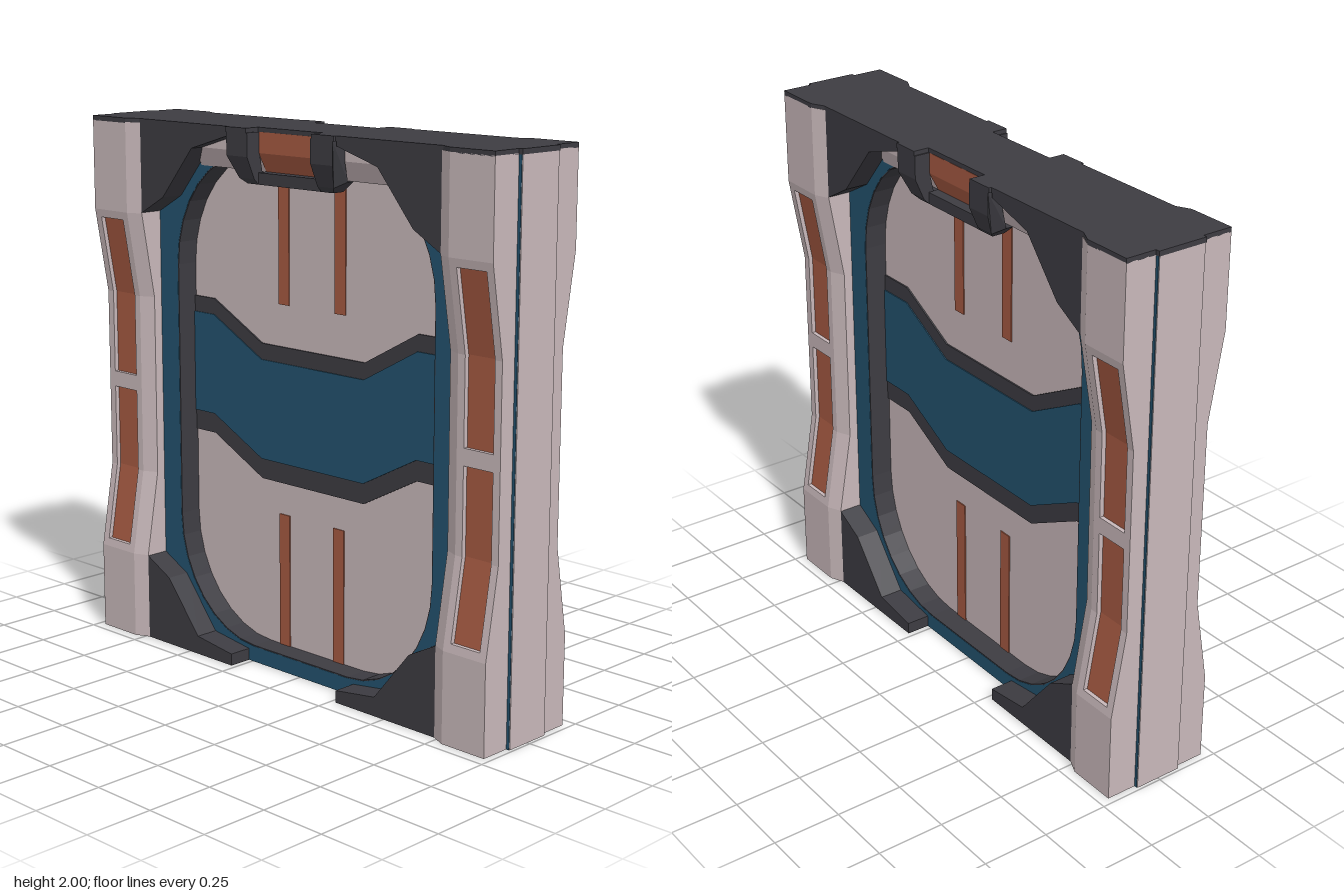
import * as THREE from 'three';

export function createModel() {
  const model = new THREE.Group();
  const mat = (name, color) => {
    const m = new THREE.MeshStandardMaterial({ color });
    m.name = name;
    return m;
  };
  const pale = mat('pale panel', 0xc8b8ba);
  const dark = mat('dark metal', 0x3d3c42);
  const blue = mat('blue frame', 0x23526e);
  const orange = mat('orange accent', 0xa65a42);

  const add = (parent, name, geometry, material) => {
    const mesh = new THREE.Mesh(geometry, material);
    mesh.name = name;
    parent.add(mesh);
    return mesh;
  };
  const box = (parent, name, material, x0, x1, y0, y1, z0, z1) => {
    const g = new THREE.BoxGeometry(x1 - x0, y1 - y0, z1 - z0);
    g.translate((x0 + x1) / 2, (y0 + y1) / 2, (z0 + z1) / 2);
    return add(parent, name, g, material);
  };
  const poly = pts => new THREE.Shape(pts.map(p => new THREE.Vector2(p[0], p[1])));
  const mirrorX = pts => [...pts, ...pts.map(([x, y]) => [-x, y]).reverse()];
  // Outline in x,y pushed from z0 to z1
  const extrudeZ = (shape, z0, z1) =>
    new THREE.ExtrudeGeometry(shape, { depth: z1 - z0, bevelEnabled: false }).translate(0, 0, z0);
  // Outline in z,y pushed from x0 to x1
  const extrudeX = (pts, x0, x1) =>
    new THREE.ExtrudeGeometry(poly(pts.map(([z, y]) => [-z, y])), { depth: x1 - x0, bevelEnabled: false })
      .rotateY(Math.PI / 2).translate(x0, 0, 0);

  // Rounded doorway outline
  const opening = inset => {
    const pts = [], rx = 0.4 - inset, ry = 0.44 - inset, n = 8;
    for (const [sx, cy, start] of [[1, 1.46, 0], [-1, 1.46, 90], [-1, 0.5, 180], [1, 0.5, 270]]) {
      for (let i = 0; i <= n; i++) {
        const a = THREE.MathUtils.degToRad(start + 90 * i / n);
        pts.push([sx * 0.24 + rx * Math.cos(a), cy + ry * Math.sin(a)]);
      }
    }
    return poly(pts);
  };

  // Frame with a dark lining
  const frame = poly([[-0.76, 0], [0.76, 0], [0.76, 1.985], [-0.76, 1.985]]);
  frame.holes.push(opening(0));
  add(model, 'doorFrame', extrudeZ(frame, -0.095, 0.095), blue);
  const lining = opening(0);
  lining.holes.push(opening(0.004));
  add(model, 'frameLining', extrudeZ(lining, -0.094, 0.094), dark);

  // Recessed door with its kinked band
  box(model, 'doorPanel', pale, -0.66, 0.66, 0.03, 1.94, -0.008, 0.008);
  const bandShape = (top, bottom) => poly([
    [-0.65, top], [-0.53, top], [-0.275, top - 0.135], [0.24, top - 0.135], [0.49, top], [0.65, top],
    [0.65, bottom], [0.49, bottom], [0.24, bottom - 0.13], [-0.275, bottom - 0.13], [-0.53, bottom], [-0.65, bottom],
  ]);
  add(model, 'bandBorder', extrudeZ(bandShape(1.335, 0.82), -0.014, 0.014), dark);
  add(model, 'band', extrudeZ(bandShape(1.275, 0.895), -0.018, 0.018), blue);

  // Pillar side profile: depth narrows at mid height
  const halfDepth = y => {
    const d = Math.abs(y - 0.99);
    return 0.155 + 0.055 * THREE.MathUtils.clamp((d - 0.34) / 0.32, 0, 1);
  };
  const both = side => [...side, ...side.map(([z, y]) => [-z, y]).reverse()];
  const heights = [0, 0.33, 0.65, 1.33, 1.65, 1.985];
  const profile = both(heights.map(y => [halfDepth(y), y]));
  const windows = [[0.36, 0.65, 0.96], [1.02, 1.33, 1.62]];
  const recess = 0.02;
  const notched = [[halfDepth(0), 0], [halfDepth(0.33), 0.33]];
  for (const ys of windows) {
    notched.push([halfDepth(ys[0]), ys[0]]);
    ys.forEach(y => notched.push([halfDepth(y) - recess, y]));
    notched.push([halfDepth(ys[2]), ys[2]]);
  }
  notched.push([halfDepth(1.65), 1.65], [halfDepth(1.985), 1.985]);

  for (const [name, turn] of [['leftPillar', 0], ['rightPillar', Math.PI]]) {
    const pillar = new THREE.Group();
    pillar.name = name;
    pillar.rotation.y = turn;
    model.add(pillar);
    add(pillar, 'outerEdge', extrudeX(profile, 0.945, 0.975), pale);
    add(pillar, 'innerEdge', extrudeX(profile, 0.79, 0.82), pale);
    add(pillar, 'windowColumn', extrudeX(both(notched), 0.82, 0.945), pale);
    // Bevel towards the doorway
    const bevel = extrudeX(profile, 0.735, 0.79);
    const p = bevel.attributes.position;
    for (let i = 0; i < p.count; i++) {
      if (p.getX(i) < 0.76) p.setZ(i, p.getZ(i) - Math.sign(p.getZ(i)) * 0.025);
    }
    bevel.computeVertexNormals();
    add(pillar, 'innerBevel', bevel, pale);
    // Orange inlays that follow the pillar
    for (const ys of windows) {
      for (const s of [1, -1]) {
        const at = off => ys.map(y => [s * (halfDepth(y) - recess + off), y]);
        add(pillar, 'windowInlay', extrudeX([...at(0.005), ...at(-0.003).reverse()], 0.822, 0.943), orange);
      }
    }
    // Raised side strip
    box(pillar, 'sideStripEdge', blue, 0.96, 0.986, 0, 1.985, -0.094, 0.094);
    box(pillar, 'sideStrip', pale, 0.98, 0.989, 0, 1.985, -0.092, 0.092);
  }

  // Top cap
  const capHalf = [[0.99, 0.095], [0.975, 0.095], [0.975, 0.21], [0.79, 0.21], [0.74, 0.185],
    [0.265, 0.185], [0.265, 0.195], [0.16, 0.195], [0.16, 0.135]];
  const capFront = mirrorX(capHalf);
  const cap = poly([...capFront, ...capFront.map(([x, z]) => [x, -z]).reverse()]);
  add(model, 'topCap', extrudeZ(cap, 1.982, 2).rotateX(-Math.PI / 2)
    .rotateX(0), dark);

  // Details repeated on front and back
  const topCorner = [[0.74, 1.65], [0.615, 1.72], [0.455, 1.91], [0.27, 1.965], [0.27, 1.985], [0.74, 1.985]];
  const bottomCorner = [[0.74, 0], [0.74, 0.33], [0.615, 0.265], [0.455, 0.07], [0.27, 0.045], [0.27, 0]];
  const lintel = [[0.02, 1.84], [0.095, 1.84], [0.132, 1.91], [0.132, 1.984], [0.02, 1.984]];
  const inlay = [[0.097, 1.838], [0.136, 1.91], [0.136, 1.984], [0.128, 1.984], [0.128, 1.91], [0.09, 1.838]];
  const clip = [[0.09, 1.84], [0.12, 1.84], [0.135, 1.91], [0.135, 1.984], [0.195, 1.984],
    [0.195, 1.9], [0.16, 1.82], [0.14, 1.8], [0.09, 1.8]];
  for (const [name, turn] of [['frontDetails', 0], ['backDetails', Math.PI]]) {
    const face = new THREE.Group();
    face.name = name;
    face.rotation.y = turn;
    model.add(face);
    for (const s of [1, -1]) {
      const flip = pts => poly(pts.map(([x, y]) => [s * x, y]));
      add(face, 'topCorner', extrudeZ(flip(topCorner), 0.085, 0.185), dark);
      add(face, 'bottomCorner', extrudeZ(flip(bottomCorner), 0.085, 0.185), dark);
      // Latch clips, narrowed at the foot
      const [a, b] = s > 0 ? [0.155, 0.26] : [-0.26, -0.155];
      const g = extrudeX(clip, a, b), p = g.attributes.position;
      for (let i = 0; i < p.count; i++) {
        if (p.getY(i) < 1.83 && Math.abs(p.getX(i)) > 0.2) p.setX(i, s * (p.getY(i) < 1.81 ? 0.21 : 0.232));
      }
      g.computeVertexNormals();
      add(face, 'latchClip', g, dark);
    }
    add(face, 'lintel', extrudeX(lintel, -0.5, 0.5), pale);
    add(face, 'latchPlate', extrudeX(inlay, -0.158, 0.158), orange);
    box(face, 'latchBar', dark, -0.16, 0.16, 1.8, 1.842, 0.08, 0.14);
    // Door stripes
    for (const [x0, x1, y0, y1] of [[-0.188, -0.135, 1.355, 1.9], [0.093, 0.146, 1.355, 1.9],
      [-0.188, -0.135, 0.06, 0.57], [0.088, 0.141, 0.06, 0.57]]) {
      box(face, 'doorStripe', orange, x0, x1, y0, y1, 0.006, 0.012);
    }
  }
  return model;
}
